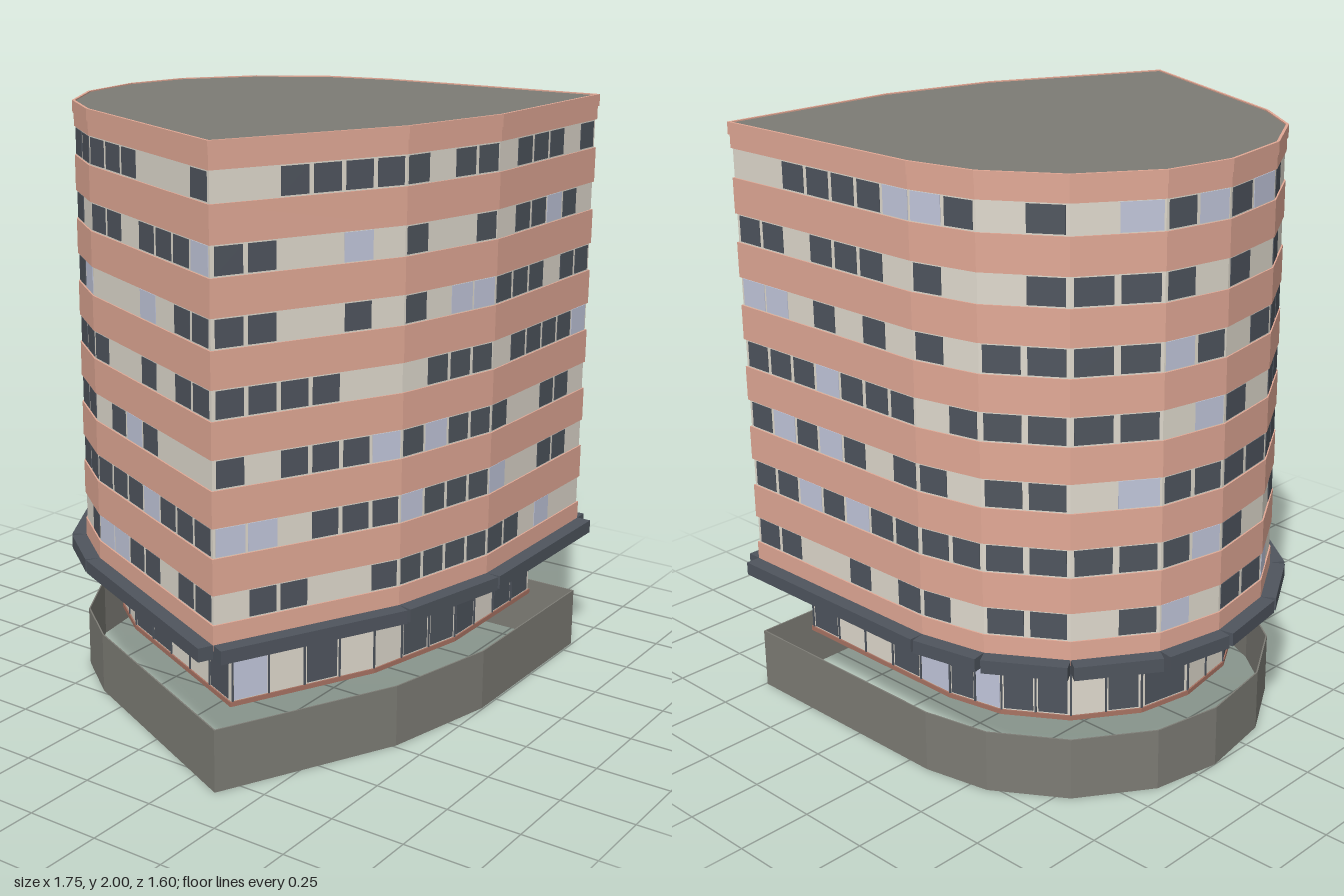
import * as THREE from 'three';
import { mergeGeometries } from 'three/addons/utils/BufferGeometryUtils.js';

const material = (name, color) => {
  const m = new THREE.MeshStandardMaterial({ color });
  m.name = name;
  return m;
};

// Footprint as [x, z], running from the front left corner round the building
const OUTLINE = [
  [-0.83, 0.37], [-0.24, 0.655], [0.16, 0.745], [0.82, 0.745], [0.82, -0.083], [0.775, -0.313],
  [0.63, -0.543], [0.4, -0.705], [0.165, -0.75], [-0.11, -0.705], [-0.34, -0.57], [-0.485, -0.38],
];

// Cells of each storey from the bottom up: D dark window, L pale glass, B blank panel
const STOREYS = [
  'BDDBBDDDDDDDBLBB' + 'DDBBDBD' + 'DBDD',
  'LLBDDDLDDDLBBDDB' + 'DDLDLDD' + 'DDDD',
  'DBDDDLDLDDDBBDDB' + 'DLDLDBD' + 'DBDD',
  'DDDDBBBDDDBDDDDL' + 'DDDLDDD' + 'BDDD',
  'DDBBDBDBLLDDDBDD' + 'LLBDBDB' + 'DBDD',
  'DDBBLBDBBDBDDLDB' + 'DDBDDDB' + 'DBBD',
  'BBDDDDDBDDBDDDBD' + 'BBDDDDL' + 'LDBD',
];
const GROUND = 'LBDB' + 'BDD' + 'DBDD' + 'DBBDL';

let seed = 7;
const random = () => (seed = (seed * 16807) % 2147483647) / 2147483647;
const randomCell = () => {
  const r = random();
  return r < 0.6 ? 'D' : r < 0.9 ? 'B' : 'L';
};

// Edges of a closed path with direction, length and outward normal
const edgesOf = (path) => path.map((a, i) => {
  const b = path[(i + 1) % path.length];
  const length = Math.hypot(b[0] - a[0], b[1] - a[1]);
  const dx = (b[0] - a[0]) / length, dz = (b[1] - a[1]) / length;
  return { a, dx, dz, length, nx: -dz, nz: dx };
});

// Footprint moved inwards by d, with mitred corners
function inset(d) {
  const edges = edgesOf(OUTLINE);
  return OUTLINE.map(([x, z], i) => {
    const e = edges[i], p = edges[(i + edges.length - 1) % edges.length];
    const k = d / (1 + e.nx * p.nx + e.nz * p.nz);
    return [x - k * (e.nx + p.nx), z - k * (e.nz + p.nz)];
  });
}

const points = (path) => path.map(([x, z]) => new THREE.Vector2(x, -z));

// Hollow wall following the footprint
function ring(d, thickness, y0, y1) {
  const shape = new THREE.Shape(points(inset(d)));
  shape.holes.push(new THREE.Path(points(inset(d + thickness))));
  return new THREE.ExtrudeGeometry(shape, { depth: y1 - y0, bevelEnabled: false })
    .rotateX(-Math.PI / 2).translate(0, y0, 0);
}

// Box lying along an edge: s is the distance along it, out the distance outwards
function edgeBox(e, s, y, w, h, t, out = 0) {
  return new THREE.BoxGeometry(w, h, t)
    .rotateY(-Math.atan2(e.dz, e.dx))
    .translate(e.a[0] + e.dx * s + e.nx * out, y, e.a[1] + e.dz * s + e.nz * out);
}

export function createModel() {
  const group = new THREE.Group();
  group.name = 'officeBuilding';
  const salmon = material('salmonCladding', 0xe2a996);
  const brown = material('brownTrim', 0xa87363);
  const slate = material('slate', 0x4f555e);
  const beige = material('beigePanel', 0xe0dace);
  const glass = material('paleGlass', 0xc2c7dc);
  const grey = material('greyConcrete', 0x7d7c75);

  const add = (parent, name, geometry, mat) => {
    const mesh = new THREE.Mesh(geometry, mat);
    mesh.name = name;
    parent.add(mesh);
  };

  // One row of panels and windows round the building
  function windowRow(name, cells, d, y0, y1, pitch, posts) {
    const row = new THREE.Group();
    row.name = name;
    group.add(row);
    add(row, 'panelWall', ring(d, 0.01, y0, y1), beige);
    const dark = [], pale = [];
    const h = y1 - y0, y = (y0 + y1) / 2;
    let n = 0;
    for (const e of edgesOf(inset(d + 0.005))) {
      const count = Math.max(1, Math.round(e.length / pitch));
      const w = e.length / count;
      for (let i = 0; i < count; i++, n++) {
        const type = cells[n] ?? randomCell();
        const s = (i + 0.5) * w;
        if (type === 'D') dark.push(edgeBox(e, s, y, w * 0.85, h - 0.01, 0.015));
        if (type === 'L') pale.push(edgeBox(e, s, y, w * 0.92, h - 0.006, 0.014));
        if (posts) dark.push(edgeBox(e, i * w, y, 0.006, h, 0.018));
      }
    }
    add(row, 'darkWindows', mergeGeometries(dark), slate);
    if (pale.length) add(row, 'paleWindows', mergeGeometries(pale), glass);
  }

  // Open base wall
  add(group, 'baseWall', ring(0, 0.005, 0, 0.21), grey);

  // Set-back ground floor with sill and head bands
  add(group, 'groundSill', ring(0.118, 0.02, 0.21, 0.226), brown);
  windowRow('groundFloor', GROUND, 0.123, 0.226, 0.434, 0.13, true);
  add(group, 'groundHead', ring(0.118, 0.02, 0.434, 0.445), brown);

  // Canopy made of one straight beam per side
  const beams = edgesOf(OUTLINE).map((e) => edgeBox(e, e.length / 2, 0.468, e.length, 0.045, 0.05, 0.026));
  add(group, 'canopy', mergeGeometries(beams), slate);

  // Storeys: a cladding band below each window row
  let bottom = 0.47;
  STOREYS.forEach((cells, i) => {
    const y = 0.552 + i * 0.2115;
    add(group, 'claddingBand', ring(0, 0.018, bottom, y), salmon);
    windowRow('windowRow', cells, 0.005, y, y + 0.095, 0.115, false);
    bottom = y + 0.095;
  });

  // Top band, parapet and roof
  add(group, 'topBand', ring(0, 0.018, bottom, 1.96), salmon);
  add(group, 'parapet', ring(-0.004, 0.009, 1.96, 2), salmon);
  const roof = new THREE.ExtrudeGeometry(new THREE.Shape(points(inset(0.004))), { depth: 0.02, bevelEnabled: false });
  add(group, 'roof', roof.rotateX(-Math.PI / 2).translate(0, 1.976, 0), grey);

  return group;
}
